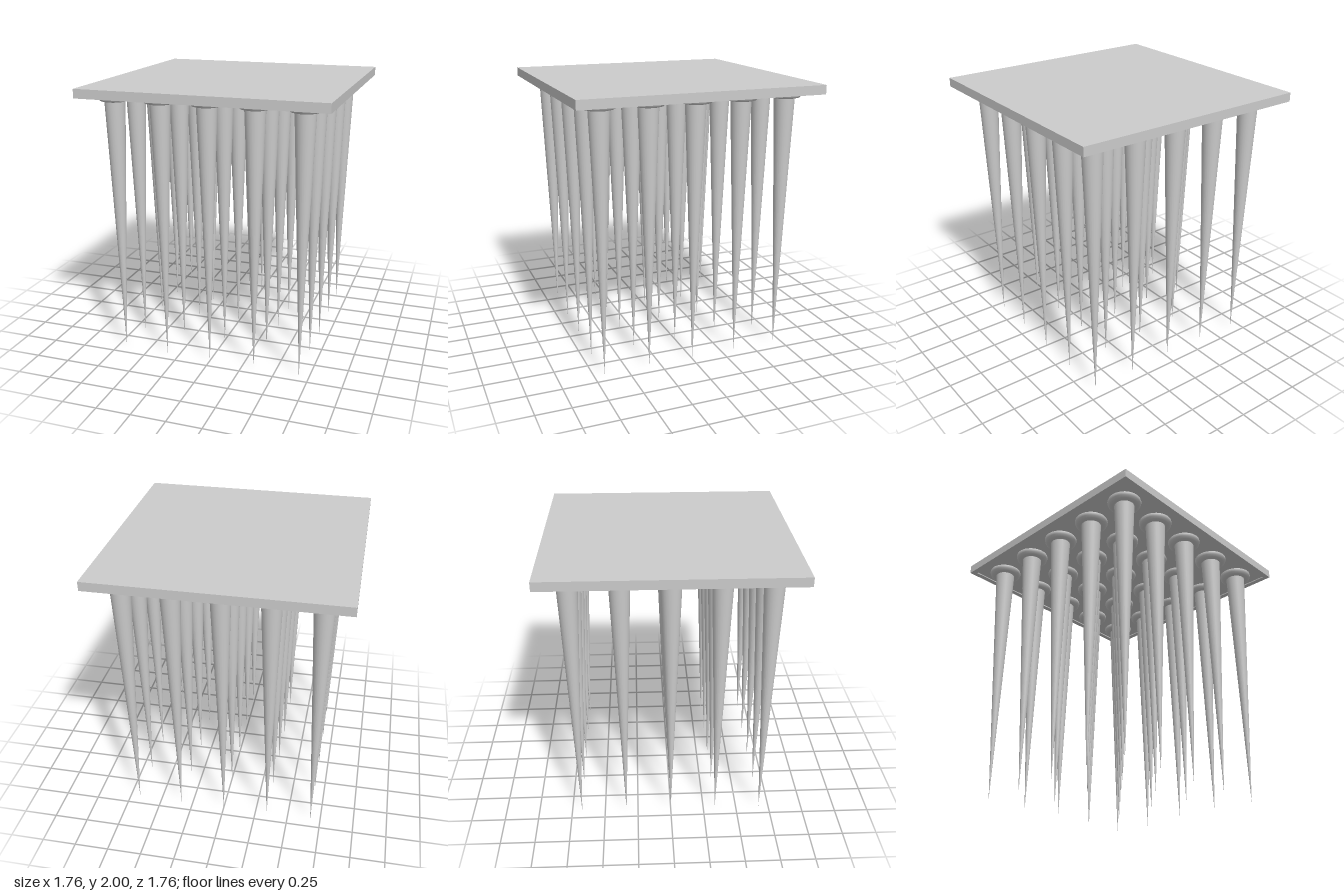
import * as THREE from 'three';

export function createModel() {
  const model = new THREE.Group();
  const material = new THREE.MeshStandardMaterial({ color: 0xcccccc });
  const half = 0.88, top = 2, bottom = 1.935, inset = 0.04, recess = 0.008;

  const add = (parent, name, geometry, x, y, z) => {
    const mesh = new THREE.Mesh(geometry, material);
    mesh.name = name;
    mesh.position.set(x, y, z);
    parent.add(mesh);
    return mesh;
  };

  // Square ceiling plate
  const slab = top - bottom - recess;
  add(model, 'plate', new THREE.BoxGeometry(2 * half, slab, 2 * half), 0, top - slab / 2, 0);

  // Shallow rim around the underside
  const square = (path, r) =>
    path.moveTo(-r, -r).lineTo(r, -r).lineTo(r, r).lineTo(-r, r).closePath();
  const rimShape = square(new THREE.Shape(), half);
  rimShape.holes.push(square(new THREE.Path(), half - inset));
  const rimGeometry = new THREE.ExtrudeGeometry(rimShape, { depth: recess, bevelEnabled: false });
  rimGeometry.rotateX(-Math.PI / 2);
  add(model, 'rim', rimGeometry, 0, bottom, 0);

  // Five by five grid of hanging spikes, each with a round collar
  const spikeHeight = bottom + recess;
  const spikeGeometry = new THREE.ConeGeometry(0.0745, spikeHeight, 24, 1).rotateX(Math.PI);
  const collarGeometry = new THREE.TorusGeometry(0.086, 0.037, 12, 32).rotateX(Math.PI / 2);
  const spacing = 0.3375;
  for (let i = -2; i <= 2; i++) {
    for (let j = -2; j <= 2; j++) {
      const unit = new THREE.Group();
      unit.name = 'spikeUnit';
      unit.position.set(i * spacing, 0, j * spacing);
      add(unit, 'spike', spikeGeometry, 0, spikeHeight / 2, 0);
      add(unit, 'collar', collarGeometry, 0, bottom, 0);
      model.add(unit);
    }
  }
  return model;
}
